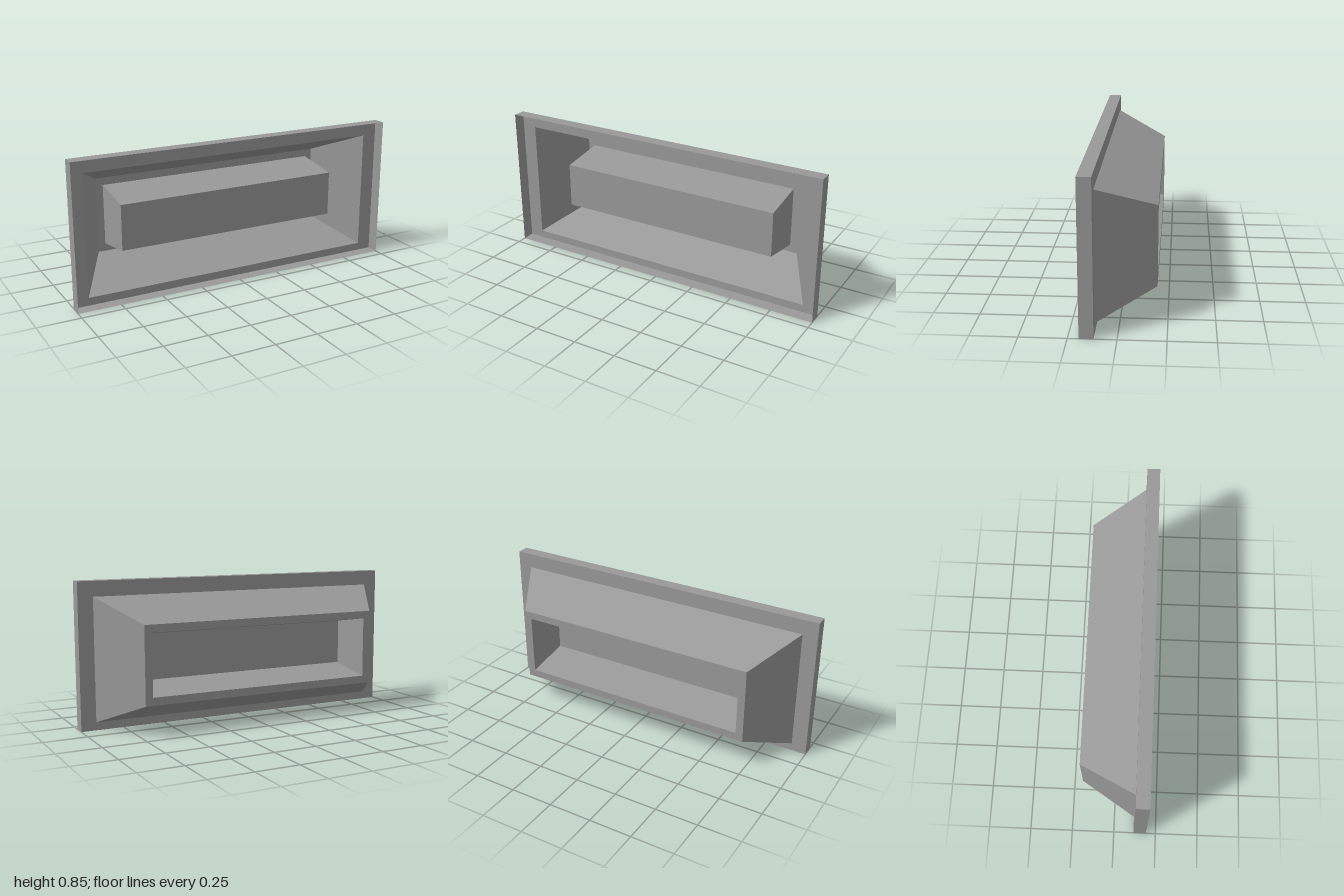
import * as THREE from 'three';

// Rectangular sections: half width, bottom, top, depth
const SECTIONS = {
  rimFront: [1, 0, 0.845, 0.193],
  rimBack: [1, 0, 0.845, 0.118],
  trayFront: [0.912, 0.046, 0.757, 0.118],
  trayBack: [0.733, 0.179, 0.624, -0.193],
  pocketBack: [0.69, 0.224, 0.58, -0.193],
  pocketFront: [0.69, 0.269, 0.537, 0.08],
};

function corners([w, y0, y1, z]) {
  return [[-w, y0, z], [w, y0, z], [w, y1, z], [-w, y1, z]];
}

function facesGeometry(quads) {
  const positions = [];
  for (const [a, b, c, d] of quads) positions.push(...a, ...b, ...c, ...a, ...c, ...d);
  const geometry = new THREE.BufferGeometry();
  geometry.setAttribute('position', new THREE.Float32BufferAttribute(positions, 3));
  geometry.computeVertexNormals();
  return geometry;
}

// Four faces joining one rectangle to the next
function band(from, to) {
  const a = corners(SECTIONS[from]);
  const b = corners(SECTIONS[to]);
  return facesGeometry(a.map((p, i) => {
    const j = (i + 1) % 4;
    return [p, a[j], b[j], b[i]];
  }));
}

export function createModel() {
  const group = new THREE.Group();
  const grey = new THREE.MeshStandardMaterial({ color: 0x999999, side: THREE.DoubleSide });
  grey.name = 'grey';

  const add = (name, geometry) => {
    const mesh = new THREE.Mesh(geometry, grey);
    mesh.name = name;
    group.add(mesh);
  };

  // Thin outer rim, open at the front, and the flange behind it
  add('outerRim', band('rimFront', 'rimBack'));
  add('flange', band('rimBack', 'trayFront'));

  // Tapered recess and its narrow back border
  add('recessWalls', band('trayFront', 'trayBack'));
  add('backBorder', band('trayBack', 'pocketBack'));

  // Hollow block rising forward inside the recess, open at the back
  add('blockWalls', band('pocketBack', 'pocketFront'));
  add('blockFace', facesGeometry([corners(SECTIONS.pocketFront)]));

  return group;
}
